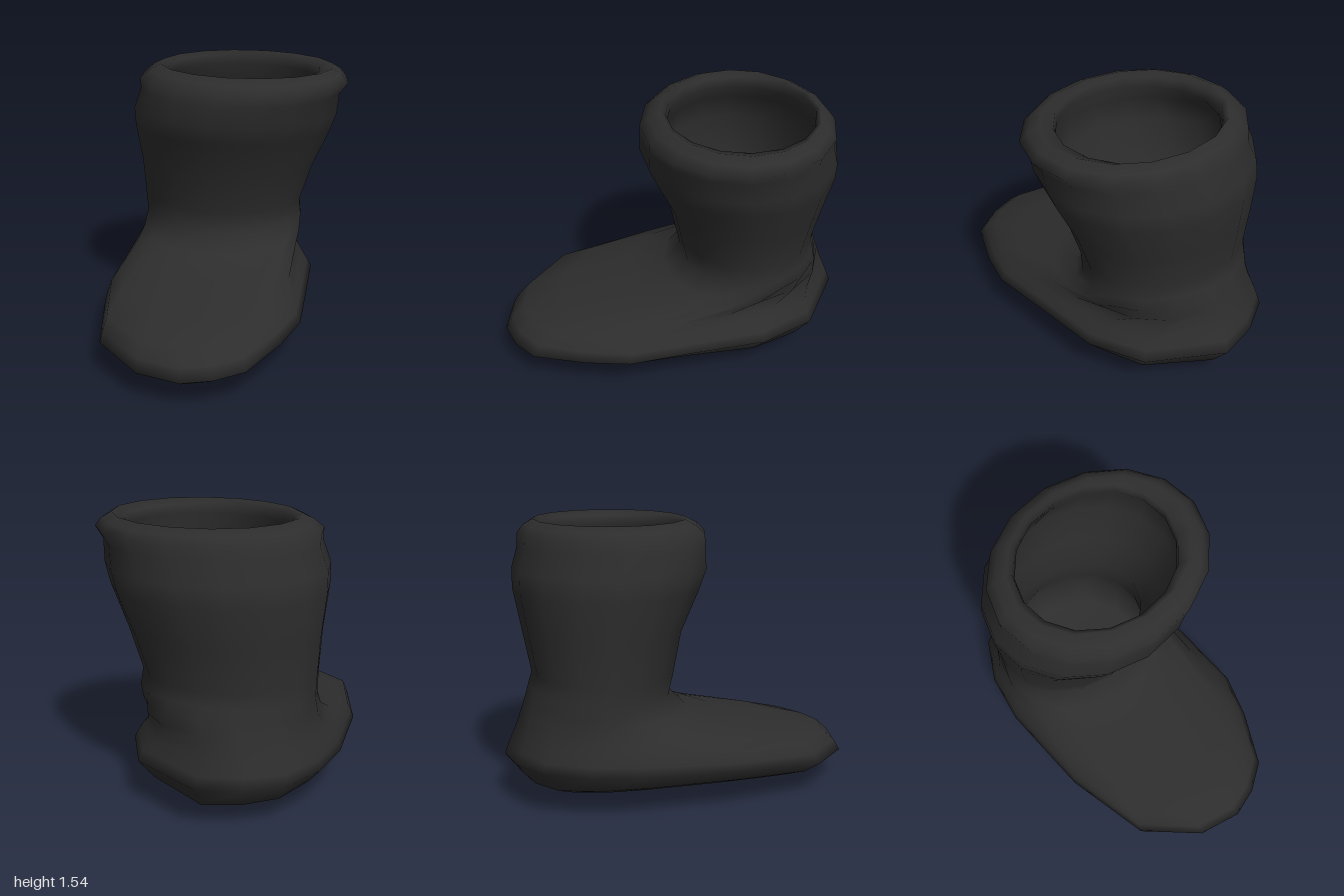
import * as THREE from 'three';

const SEG = 16;

// Footprint seen from above as [x, z], from the toe round by the left side and heel
const footprint = [
  [0.11, 1], [0.27, 0.935], [0.41, 0.82], [0.52, 0.52], [0.57, 0.27], [0.52, -0.1], [0.46, -0.51], [0.29, -0.8],
  [-0.13, -1], [-0.36, -0.93], [-0.55, -0.8], [-0.655, -0.56], [-0.68, -0.27], [-0.605, 0.28], [-0.44, 0.75], [-0.14, 0.97],
].map(([x, z]) => [(x + 0.055) / 0.625, z]);

// Each ring: x min, x max, z back, z front, y at back, y at front,
// footprint share (0 = round), rise of the sides midway
const soleAndFoot = [
  [-0.3, 0.25, -0.65, 0.58, 0.0, 0.03, 1, 0.04],
  [-0.45, 0.37, -0.79, 0.74, 0.06, 0.055, 1, 0.04],
  [-0.59, 0.48, -0.9, 0.91, 0.115, 0.1, 1, 0.05],
  [-0.68, 0.57, -1.0, 1.0, 0.245, 0.155, 1, 0.04],
  [-0.665, 0.54, -0.975, 0.96, 0.31, 0.22, 1, 0.02],
  [-0.65, 0.5, -0.95, 0.89, 0.37, 0.285, 0.95, 0.01],
  [-0.625, 0.445, -0.925, 0.66, 0.43, 0.345, 0.8, 0],
  [-0.605, 0.41, -0.9, 0.27, 0.5, 0.41, 0.4, 0],
  [-0.595, 0.4, -0.875, 0.04, 0.57, 0.475, 0.1, 0],
  [-0.588, 0.395, -0.855, -0.06, 0.64, 0.58, 0, 0],
];
const shaftAndCuff = [
  [-0.585, 0.39, -0.835, -0.03, 0.71, 0.71, 0, 0],
  [-0.6, 0.465, -0.88, 0.02, 0.94, 0.94, 0, 0],
  [-0.62, 0.57, -0.925, 0.13, 1.17, 1.17, 0, 0],
  [-0.615, 0.61, -0.925, 0.175, 1.28, 1.28, 0, 0],
  [-0.565, 0.625, -0.89, 0.175, 1.4, 1.4, 0, 0],
  [-0.57, 0.675, -0.89, 0.175, 1.465, 1.465, 0, 0],
  [-0.515, 0.635, -0.855, 0.13, 1.51, 1.51, 0, 0],
  [-0.45, 0.58, -0.8, 0.065, 1.542, 1.542, 0, 0],
];
const lining = [
  [-0.41, 0.5, -0.785, 0.035, 1.515, 1.515, 0, 0],
  [-0.4, 0.49, -0.78, 0.03, 1.46, 1.46, 0, 0],
  [-0.46, 0.52, -0.81, 0.05, 1.37, 1.37, 0, 0],
  [-0.55, 0.51, -0.86, 0.08, 1.2, 1.2, 0, 0],
  [-0.54, 0.41, -0.82, -0.04, 0.94, 0.94, 0, 0],
  [-0.52, 0.33, -0.78, -0.1, 0.71, 0.71, 0, 0],
  [-0.54, 0.34, -0.82, -0.08, 0.5, 0.5, 0.1, 0],
  [-0.58, 0.42, -0.88, 0.35, 0.28, 0.26, 0.8, 0],
  [-0.5, 0.36, -0.8, 0.3, 0.17, 0.17, 0.8, 0],
];

function ringPoints([x0, x1, z0, z1, yBack, yFront, share, rise]) {
  return footprint.map(([fx, fz], i) => {
    const a = (i / SEG) * Math.PI * 2;
    const u = THREE.MathUtils.lerp(Math.sin(a), fx, share);
    const v = THREE.MathUtils.lerp(Math.cos(a), fz, share);
    return [
      (x0 + x1) / 2 + (u * (x1 - x0)) / 2,
      THREE.MathUtils.lerp(yBack, yFront, (v + 1) / 2) + rise * (1 - v * v),
      (z0 + z1) / 2 + (v * (z1 - z0)) / 2,
    ];
  });
}

// Skin over a stack of rings, closed at both ends by a centre point
function loft(rings, firstCentre, lastCentre) {
  const positions = [...firstCentre, ...rings.flatMap(ringPoints).flat(), ...lastCentre];
  const last = rings.length * SEG + 1;
  const index = [];
  for (let i = 0; i < SEG; i++) {
    const j = (i + 1) % SEG;
    index.push(0, 1 + j, 1 + i);
    for (let r = 0; r < rings.length - 1; r++) {
      const a = 1 + r * SEG, b = a + SEG;
      index.push(a + i, a + j, b + j, a + i, b + j, b + i);
    }
    index.push(last - SEG + i, last - SEG + j, last);
  }
  const geometry = new THREE.BufferGeometry();
  geometry.setAttribute('position', new THREE.Float32BufferAttribute(positions, 3));
  geometry.setIndex(index);
  geometry.computeVertexNormals();
  return geometry;
}

export function createModel() {
  const charcoal = new THREE.MeshStandardMaterial({ color: 0x2d2d2d });
  charcoal.name = 'charcoal';

  // One continuous skin: sole, foot, shaft, rolled cuff, then down the lining to the insole
  const boot = new THREE.Mesh(
    loft([...soleAndFoot, ...shaftAndCuff, ...lining], [-0.04, 0.07, -0.1], [-0.09, 0.14, -0.35]),
    charcoal,
  );
  boot.name = 'bootShell';

  const group = new THREE.Group();
  group.name = 'boot';
  group.add(boot);
  return group;
}
